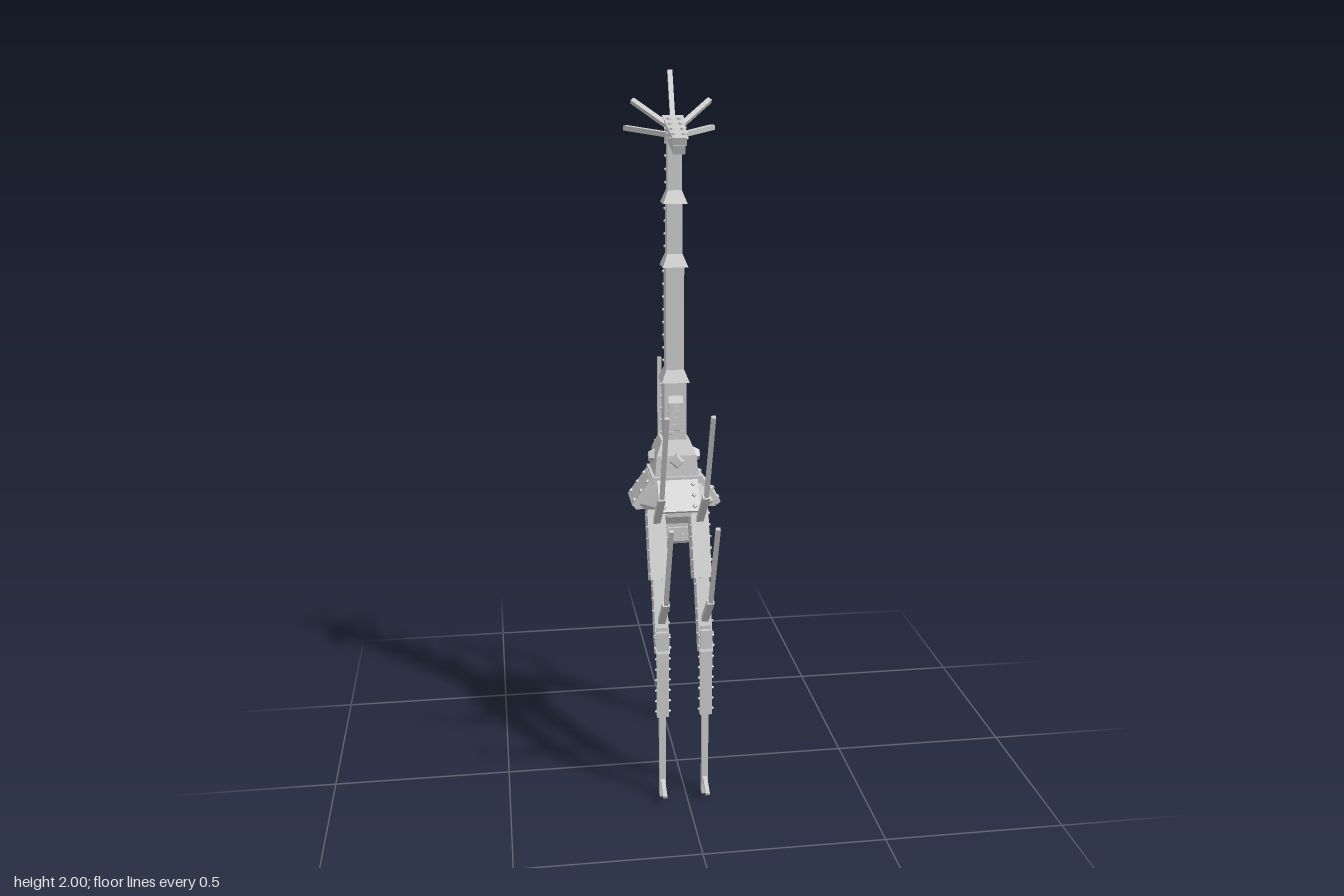
import * as THREE from 'three';
import { ConvexGeometry } from 'three/addons/geometries/ConvexGeometry.js';

const steel = new THREE.MeshStandardMaterial({ color: 0xc8c8c8 });
steel.name = 'steel';
steel.flatShading = true;

const CX = -0.003; // midline of hub, neck and head
const LEG_X = -0.007; // midline of the front legs
const V = (x, y, z) => new THREE.Vector3(x, y, z);

function mesh(parent, name, geometry, x = 0, y = 0, z = 0) {
  const m = new THREE.Mesh(geometry, steel);
  m.name = name;
  m.position.set(x, y, z);
  parent.add(m);
  return m;
}

const box = (parent, name, w, h, d, x, y, z) =>
  mesh(parent, name, new THREE.BoxGeometry(w, h, d), x, y, z);

// Four-sided taper, measured across its flats
function taper(parent, name, wTop, wBottom, h, x, y, z) {
  const g = new THREE.CylinderGeometry(wTop / Math.SQRT2, wBottom / Math.SQRT2, h, 4);
  g.rotateY(Math.PI / 4);
  return mesh(parent, name, g, x, y, z);
}

// Diamond bolt head whose axis points along dir
function bolt(parent, x, y, z, dir, r = 0.006, h = 0.006) {
  const b = mesh(parent, 'bolt', new THREE.CylinderGeometry(r * 0.6, r, h, 4), x, y, z);
  b.quaternion.setFromUnitVectors(V(0, 1, 0), dir);
}

// Group lying along a to b: local y runs along it, local x stays level
function beam(parent, name, a, b, w, d) {
  const g = new THREE.Group();
  g.name = name;
  const y = b.clone().sub(a);
  const len = y.length();
  y.normalize();
  const z = V(1, 0, 0).cross(y).normalize();
  const x = y.clone().cross(z).normalize();
  g.quaternion.setFromRotationMatrix(new THREE.Matrix4().makeBasis(x, y, z));
  g.position.copy(a).lerp(b, 0.5);
  box(g, name + 'Bar', w, len, d, 0, 0, 0);
  parent.add(g);
  g.userData.length = len;
  return g;
}

// Rows of bolts down both sides of a beam
function sideBolts(g, w, n, z, r = 0.005) {
  const len = g.userData.length;
  for (let i = 0; i < n; i++)
    for (const s of [-1, 1])
      bolt(g, s * (w / 2 + 0.002), ((i + 0.5) / n - 0.5) * len, z, V(s, 0, 0), r);
}

// Bent spike of two bars
function spike(parent, x, pts) {
  const p = pts.map(([z, y]) => V(x, y, z));
  beam(parent, 'spikeBase', p[0], p[1], 0.019, 0.014);
  beam(parent, 'spikeTip', p[1], p[2], 0.012, 0.011);
}

// Leg: dir is +1 toward the front, -1 toward the back
function leg(parent, x, dir, c) {
  const g = new THREE.Group();
  g.name = dir > 0 ? 'frontLeg' : 'backLeg';
  const P = ([z, y]) => V(x, y, z);
  const thigh = beam(g, 'thigh', P(c.hip), P(c.mid), 0.05, 0.066);
  sideBolts(thigh, 0.05, 6, -dir * 0.027);
  const lower = beam(g, 'lowerThigh', P(c.mid), P(c.knee), 0.038, 0.05);
  sideBolts(lower, 0.038, 6, -dir * 0.019);
  // Knee wedge and shin
  const z = c.shin;
  mesh(g, 'knee', new ConvexGeometry([-0.015, 0.015].flatMap(dx => [
    V(x + dx, 0.52, z - dir * 0.03), V(x + dx, 0.52, z + dir * 0.008),
    V(x + dx, 0.4, z + dir * 0.008), V(x + dx, 0.4, z - dir * 0.012),
  ])));
  box(g, 'shin', 0.018, 0.47, 0.02, x, 0.235, z);
  const plate = beam(g, 'shinPlate', V(x, 0.255, z + dir * 0.014), V(x, 0.51, z + dir * 0.014), 0.034, 0.013);
  sideBolts(plate, 0.034, 8, 0);
  beam(g, 'footClaw', V(x, 0.055, z), V(x, 0.027, z + dir * 0.062), 0.012, 0.009);
  spike(g, x, c.upperSpike);
  spike(g, x, c.lowerSpike);
  parent.add(g);
}

function createHub(root) {
  const hub = new THREE.Group();
  hub.name = 'hub';
  hub.position.set(CX, 0, -0.037);
  root.add(hub);
  // Octagonal core tapering up and down
  const ring = (r, c, y) => [[r, c], [c, r], [-c, r], [-r, c], [-r, -c], [-c, -r], [c, -r], [r, -c]]
    .map(([x, z]) => V(x, y, z));
  mesh(hub, 'core', new ConvexGeometry([
    ...ring(0.066, 0.045, 0.9), ...ring(0.107, 0.056, 0.825), ...ring(0.085, 0.045, 0.8), ...ring(0.055, 0.035, 0.76)]));
  // Four sloped armour plates with bolts
  for (let i = 0; i < 4; i++) {
    const side = new THREE.Group();
    side.name = 'armourSide';
    side.rotation.y = i * Math.PI / 2;
    hub.add(side);
    const plate = beam(side, 'armourPlate', V(0, 0.815, 0.12), V(0, 0.89, 0.066), 0.115, 0.016);
    for (const x of [-0.043, 0.043])
      for (const y of [-0.032, 0, 0.032]) bolt(plate, x, y, 0.01, V(0, 0, 1), 0.008);
    // Hip bracket below each plate
    box(side, 'bracket', 0.07, 0.03, 0.03, 0, 0.815, 0.1);
    // Collar knob
    bolt(side, 0, 0.945, 0.064, V(0, 0, 1), 0.024, 0.018);
    // Belly pod bolts
    for (const x of [-0.045, -0.015, 0.015, 0.045])
      bolt(side, x, 0.727, 0.061, V(0, 0, 1), 0.007);
  }
  box(hub, 'collarSeat', 0.14, 0.02, 0.14, 0, 0.892, 0);
  taper(hub, 'collarLower', 0.112, 0.124, 0.06, 0, 0.93, 0);
  taper(hub, 'collarUpper', 0.08, 0.112, 0.04, 0, 0.98, 0);
  // Belly pod
  box(hub, 'bellyNeck', 0.09, 0.04, 0.1, 0, 0.755, 0);
  box(hub, 'bellyPod', 0.115, 0.04, 0.12, 0, 0.728, 0);
  taper(hub, 'bellyCap', 0.11, 0.085, 0.016, 0, 0.703, 0);
}

function createNeck(root) {
  const neck = new THREE.Group();
  neck.name = 'neck';
  neck.position.set(CX, 0, -0.036);
  root.add(neck);
  // Stacked segments: bottom, top, width
  [[0.99, 1.165, 0.062], [1.165, 1.485, 0.05], [1.485, 1.655, 0.042], [1.655, 1.83, 0.038]].forEach(([a, b, w], i) => {
    const seg = beam(neck, 'neckSegment', V(0, a, 0), V(0, b, 0), w, w);
    sideBolts(seg, w, Math.round((b - a) / 0.035), 0.006 - w / 2);
    if (i) taper(neck, 'neckFlare', w, w + 0.028, 0.035, 0, a + 0.017, 0);
  });
  // Back plates, and the four spines
  [[1.02, 1.15, 0.04, 0.038], [1.19, 1.315, 0.036, 0.033], [1.335, 1.47, 0.036, 0.033],
    [1.51, 1.64, 0.03, 0.026], [1.675, 1.8, 0.028, 0.024]].forEach(([a, b, w, z]) =>
    box(neck, 'backPlate', w, b - a, 0.022, 0, (a + b) / 2, -z));
  [[0.045, 1.07, 0.13, 1.16], [0.04, 1.26, 0.125, 1.34], [0.035, 1.4, 0.124, 1.486], [0.03, 1.58, 0.118, 1.665]]
    .forEach(([z0, y0, z1, y1]) => beam(neck, 'spine', V(0, y0, -z0), V(0, y1, -z1), 0.018, 0.011));
  // Ribbed throat
  mesh(neck, 'throat', new ConvexGeometry([-0.02, 0.02].flatMap(x => [
    V(x, 1.01, 0.025), V(x, 1.03, 0.044), V(x, 1.1, 0.044), V(x, 1.14, 0.025)])));
  for (let i = 0; i < 5; i++) box(neck, 'throatRib', 0.044, 0.008, 0.008, 0, 1.025 + i * 0.02, 0.042);
}

function createHead(root) {
  const head = new THREE.Group();
  head.name = 'head';
  head.position.set(CX, 1.84, 0);
  head.rotation.x = 0.36;
  root.add(head);
  // Skull narrows toward the snout; local z runs forward
  const slab = (name, y0, y1, back, front, wb, wf) => mesh(head, name, new ConvexGeometry(
    [y0, y1].flatMap(y => [V(-wb, y, back), V(wb, y, back), V(wf, y, front), V(-wf, y, front)])));
  slab('skull', -0.002, 0.02, -0.07, 0.076, 0.029, 0.019);
  slab('jaw', -0.025, 0, -0.05, 0.078, 0.022, 0.016);
  for (let i = 0; i < 4; i++) {
    const z = -0.042 + i * 0.032;
    for (const s of [-1, 1]) {
      bolt(head, s * 0.014, 0.022, z, V(0, 1, 0), 0.008, 0.005);
      bolt(head, s * (0.026 - z * 0.07), 0.009, z, V(s, 0, 0), 0.006);
    }
  }
  box(root, 'headJoint', 0.046, 0.05, 0.05, CX, 1.84, -0.04);
  // Horns: two on each side and a tall one behind
  for (const s of [-1, 1]) {
    beam(root, 'upperHorn', V(CX + s * 0.015, 1.855, -0.025), V(CX + s * 0.105, 1.92, -0.09), 0.013, 0.013);
    beam(root, 'lowerHorn', V(CX + s * 0.018, 1.835, -0.005), V(CX + s * 0.12, 1.847, -0.13), 0.015, 0.013);
  }
  beam(root, 'rearHorn', V(CX, 1.84, -0.045), V(CX, 1.997, -0.115), 0.013, 0.01);
}

export function createModel() {
  const root = new THREE.Group();
  root.name = 'tripodWalker';
  createHub(root);
  createNeck(root);
  createHead(root);
  for (const s of [-1, 1])
    leg(root, LEG_X + s * 0.0605, 1, {
      hip: [0.04, 0.81], mid: [0.115, 0.63], knee: [0.188, 0.44], shin: 0.188,
      upperSpike: [[0.08, 0.79], [0.195, 0.895], [0.298, 1.145]],
      lowerSpike: [[0.17, 0.525], [0.277, 0.625], [0.382, 0.87]],
    });
  leg(root, LEG_X - 0.005, -1, {
    hip: [-0.125, 0.81], mid: [-0.2, 0.64], knee: [-0.278, 0.44], shin: -0.281,
    upperSpike: [[-0.16, 0.79], [-0.286, 0.905], [-0.286, 1.175]],
    lowerSpike: [[-0.26, 0.51], [-0.374, 0.62], [-0.374, 0.895]],
  });
  return root;
}
